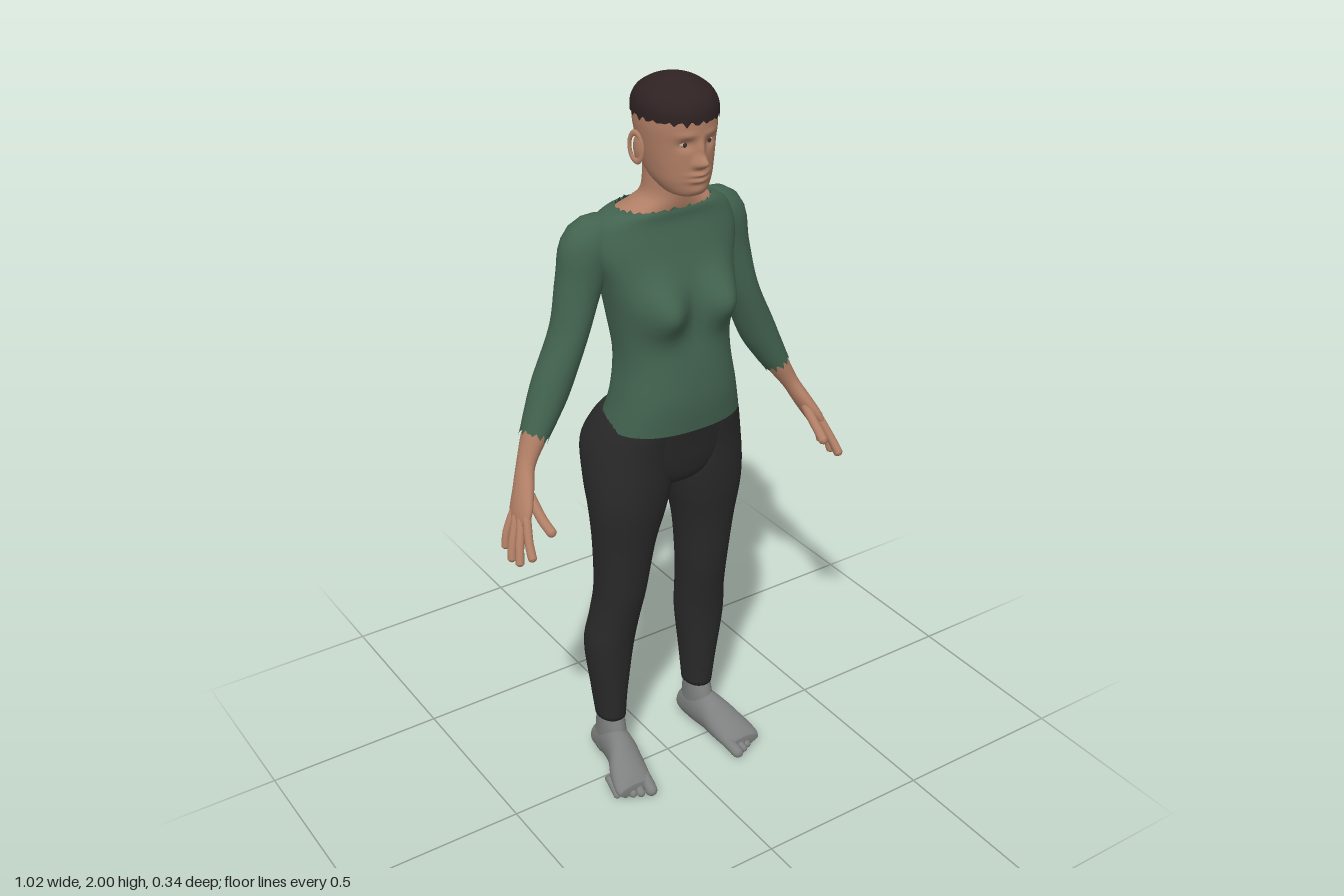
import * as THREE from 'three';

const mat = (name, color, side = THREE.FrontSide) => {
  const m = new THREE.MeshStandardMaterial({ color, side });
  m.name = name;
  return m;
};
const g = (d, s) => Math.exp(-((d / s) ** 2));
const jag = i => 0.006 * (Math.sin(i * 2.1) + Math.sin(i * 3.7));

// Catmull-Rom through rows of numbers, n steps per span
function smooth(rows, n) {
  const out = [], at = i => rows[Math.max(0, Math.min(rows.length - 1, i))];
  for (let i = 0; i < rows.length - 1; i++) {
    for (let k = 0; k < n; k++) {
      const t = k / n;
      out.push(rows[i].map((p1, c) => {
        const p0 = at(i - 1)[c], p2 = at(i + 1)[c], p3 = at(i + 2)[c];
        return p1 + 0.5 * t * (p2 - p0 + t * (2 * p0 - 5 * p1 + 4 * p2 - p3 + t * (3 * (p1 - p2) + p3 - p0)));
      }));
    }
  }
  out.push(rows[rows.length - 1]);
  return out;
}

// Closed skin over rings of points
function skin(rings, capped = true) {
  const n = rings[0].length, pos = [], idx = [];
  rings.forEach(r => r.forEach(p => pos.push(p.x, p.y, p.z)));
  for (let j = 0; j < rings.length - 1; j++) {
    for (let i = 0; i < n; i++) {
      const a = j * n + i, b = j * n + (i + 1) % n;
      idx.push(a, a + n, b, b, a + n, b + n);
    }
  }
  if (capped) {
    [0, rings.length - 1].forEach((j, top) => {
      const c = new THREE.Vector3();
      rings[j].forEach(p => c.addScaledVector(p, 1 / n));
      const k = pos.length / 3;
      pos.push(c.x, c.y, c.z);
      for (let i = 0; i < n; i++) {
        const a = j * n + i, b = j * n + (i + 1) % n;
        idx.push(k, top ? b : a, top ? a : b);
      }
    });
  }
  const geo = new THREE.BufferGeometry();
  geo.setAttribute('position', new THREE.Float32BufferAttribute(pos, 3));
  geo.setIndex(idx);
  geo.computeVertexNormals();
  return geo;
}

// Upright loft; rows are [y, x0, x1, zBack, zFront]
function loft(rows, { seg = 40, n = 5, power = 2, shape, capped } = {}) {
  const sp = v => Math.sign(v) * Math.abs(v) ** (2 / power);
  const list = smooth(rows, n);
  return skin(list.map(([y, x0, x1, z0, z1], j) => Array.from({ length: seg }, (_, i) => {
    const a = i / seg * Math.PI * 2;
    const p = new THREE.Vector3((x0 + x1) / 2 + (x1 - x0) / 2 * sp(Math.cos(a)), y, (z0 + z1) / 2 + (z1 - z0) / 2 * sp(Math.sin(a)));
    if (shape) shape(p, i, j, list.length - 1, Math.sin(a));
    return p;
  })), capped);
}

// Loft along a path; rows are [x, y, z, width radius, depth radius]
function limb(rows, { seg = 24, n = 4, ref = [0, 0, 1], capped, frayed } = {}) {
  const list = smooth(rows, n), P = list.map(r => new THREE.Vector3(r[0], r[1], r[2]));
  return skin(list.map((r, j) => {
    const t = P[Math.min(j + 1, P.length - 1)].clone().sub(P[Math.max(j - 1, 0)]).normalize();
    const v = new THREE.Vector3(...ref);
    v.addScaledVector(t, -v.dot(t)).normalize();
    const u = t.clone().cross(v);
    return Array.from({ length: seg }, (_, i) => {
      const a = i / seg * Math.PI * 2;
      const p = P[j].clone().addScaledVector(u, r[3] * Math.cos(a)).addScaledVector(v, r[4] * Math.sin(a));
      if (frayed && j === list.length - 1) p.addScaledVector(t, jag(i) * 1.3);
      return p;
    });
  }), capped);
}

// Finger or toe with a rounded tip
function digit(points, r, ref) {
  const rows = points.map(p => [...p, r, r]);
  const [a, b] = rows.slice(-2), d = a.map((v, i) => b[i] - v);
  const len = Math.hypot(d[0], d[1], d[2]);
  [[0.5, 0.85], [0.85, 0.5], [1, 0.08]].forEach(([s, k]) =>
    rows.push([0, 1, 2].map(i => b[i] + d[i] / len * r * s).concat(r * k, r * k)));
  return limb(rows, { seg: 12, n: 3, ref });
}

function mirrored(geo) {
  const m = geo.clone().scale(-1, 1, 1), ix = m.index.array;
  for (let i = 0; i < ix.length; i += 3) [ix[i], ix[i + 1]] = [ix[i + 1], ix[i]];
  m.computeVertexNormals();
  return m;
}

const sym = rows => rows.map(([y, w, z0, z1]) => [y, -w, w, z0, z1]);
const ball = (x, y, z, sx, sy, sz) => new THREE.SphereGeometry(1, 20, 14).scale(sx, sy, sz).translate(x, y, z);

export function createModel() {
  const model = new THREE.Group();
  const skinM = mat('skin', 0xb07e65), shirtM = mat('green shirt', 0x42624f, THREE.DoubleSide);
  const pantsM = mat('black leggings', 0x2a2a2b), footM = mat('grey socks', 0x7d807e);
  const hairM = mat('dark hair', 0x2f2223, THREE.DoubleSide);
  const eyeM = mat('eye white', 0xb5a79d), irisM = mat('iris', 0x40302a);
  const add = (name, geo, m) => {
    const mesh = new THREE.Mesh(geo, m);
    mesh.name = name;
    model.add(mesh);
  };
  const pair = (name, geo, m) => {
    add('left ' + name, geo, m);
    add('right ' + name, mirrored(geo), m);
  };

  // Shirt body with bust, spine hollow and ragged collar
  add('shirt body', loft(sym([
    [1.115, 0.186, -0.122, 0.138], [1.2, 0.165, -0.1, 0.145], [1.3, 0.15, -0.103, 0.135],
    [1.4, 0.16, -0.115, 0.113], [1.5, 0.178, -0.124, 0.1], [1.58, 0.2, -0.126, 0.075],
    [1.64, 0.188, -0.12, 0.056], [1.668, 0.155, -0.108, 0.054], [1.677, 0.125, -0.095, 0.052],
  ]), {
    seg: 72, n: 6, power: 2.4, capped: false,
    shape(p, i, j, last, s) {
      if (s > 0) p.z += 0.063 * Math.min(1, s * 2) * g(Math.abs(p.x) - 0.085, 0.06) * g(p.y - 1.445, 0.065);
      else p.z += 0.014 * g(p.x, 0.035) * g(p.y - 1.4, 0.2);
      if (j === last) p.y += jag(i) * 0.7;
    },
  }), shirtM);

  // Sleeves
  pair('sleeve', limb([
    [0.12, 1.605, -0.045, 0.05, 0.05], [0.185, 1.588, -0.058, 0.074, 0.064], [0.218, 1.5, -0.06, 0.059, 0.062],
    [0.256, 1.38, -0.052, 0.046, 0.058], [0.312, 1.25, -0.05, 0.049, 0.054], [0.348, 1.18, -0.043, 0.042, 0.048],
    [0.373, 1.135, -0.036, 0.035, 0.042],
  ], { seg: 32, n: 5, capped: false, frayed: true }), shirtM);

  // Forearms, palms, fingers
  pair('forearm and palm', limb([
    [0.33, 1.21, -0.046, 0.036, 0.042], [0.373, 1.135, -0.035, 0.031, 0.037], [0.41, 1.07, -0.018, 0.022, 0.028],
    [0.434, 1.02, 0.008, 0.021, 0.036], [0.456, 0.975, 0.032, 0.018, 0.043], [0.468, 0.945, 0.043, 0.01, 0.034],
  ]), skinM);
  [
    ['thumb', 0.013, [0.428, 1.01, 0.03], [0.427, 0.97, 0.082], [0.422, 0.948, 0.12]],
    ['index finger', 0.011, [0.457, 0.975, 0.062], [0.472, 0.925, 0.095], [0.478, 0.893, 0.12]],
    ['middle finger', 0.011, [0.464, 0.965, 0.047], [0.487, 0.91, 0.075], [0.498, 0.872, 0.092]],
    ['ring finger', 0.011, [0.467, 0.965, 0.028], [0.492, 0.905, 0.047], [0.501, 0.868, 0.057]],
    ['little finger', 0.01, [0.464, 0.97, 0.008], [0.488, 0.92, 0.012], [0.496, 0.882, 0.016]],
  ].forEach(([name, r, ...pts]) => pair(name, digit(pts, r), skinM));

  // Leggings: two legs, and a pelvis that fills the front between them
  pair('legging', loft([
    [0.155, 0.108, 0.187, -0.12, -0.022], [0.25, 0.102, 0.197, -0.133, -0.012], [0.4, 0.084, 0.216, -0.14, 0.003],
    [0.5, 0.075, 0.206, -0.125, 0.02], [0.6, 0.064, 0.2, -0.11, 0.042], [0.75, 0.044, 0.209, -0.105, 0.064],
    [0.86, 0.016, 0.221, -0.112, 0.085], [0.94, -0.004, 0.224, -0.142, 0.096], [1.03, -0.012, 0.216, -0.173, 0.104],
    [1.1, -0.015, 0.196, -0.145, 0.117], [1.14, -0.015, 0.178, -0.115, 0.125],
  ], { power: 2.15 }), pantsM);
  add('pelvis', loft(sym([
    [0.915, 0.035, -0.06, 0.04], [0.95, 0.1, -0.09, 0.085], [1.0, 0.17, -0.105, 0.103],
    [1.06, 0.2, -0.12, 0.115], [1.1, 0.192, -0.123, 0.124], [1.14, 0.178, -0.11, 0.134],
  ]), { seg: 48, power: 2.3 }), pantsM);

  // Feet
  pair('ankle', loft([
    [0.03, 0.115, 0.185, -0.137, -0.01], [0.1, 0.114, 0.184, -0.128, -0.005], [0.165, 0.112, 0.183, -0.117, -0.027],
  ]), footM);
  const foot = smooth([
    [-0.143, 0.137, 0.165, 0.022, 0.05], [-0.128, 0.118, 0.18, 0.004, 0.085], [-0.07, 0.112, 0.187, 0, 0.125],
    [0, 0.113, 0.203, 0.004, 0.122], [0.05, 0.117, 0.226, 0, 0.09], [0.1, 0.126, 0.24, 0, 0.058], [0.12, 0.135, 0.236, 0.006, 0.04],
  ], 5).map(([z, x0, x1, y0, y1]) => Array.from({ length: 28 }, (_, i) => {
    const a = i / 28 * Math.PI * 2;
    return new THREE.Vector3((x0 + x1) / 2 - (x1 - x0) / 2 * Math.cos(a), Math.max(0, (y0 + y1) / 2 + (y1 - y0) / 2 * Math.sin(a)), z);
  }));
  pair('foot', skin(foot), footM);
  for (let i = 0; i < 5; i++) {
    const r = i ? 0.0125 - i * 0.0004 : 0.017, x = 0.144 + (i ? 0.008 : 0) + 0.0195 * i, tip = 0.14 - 0.0105 * i;
    pair('toe ' + (i + 1), digit([[x - 0.004, r + 0.018, tip - 0.06], [x, r + 0.008, tip - 0.025], [x + 0.004, r, tip]], r, [0, 1, 0]), footM);
  }

  // Neck and shoulder base
  add('neck', loft(sym([
    [1.64, 0.17, -0.105, 0.04], [1.668, 0.142, -0.098, 0.047], [1.685, 0.1, -0.086, 0.052],
    [1.71, 0.066, -0.07, 0.056], [1.76, 0.06, -0.063, 0.06], [1.81, 0.062, -0.064, 0.06],
  ])), skinM);

  // Head with nose, sockets, lips and chin shaped into it
  add('head', loft(sym([
    [1.727, 0.03, 0.05, 0.112], [1.737, 0.05, 0.01, 0.127], [1.765, 0.069, -0.035, 0.134], [1.8, 0.079, -0.06, 0.136],
    [1.85, 0.088, -0.073, 0.136], [1.9, 0.094, -0.083, 0.139], [1.94, 0.089, -0.08, 0.132], [1.975, 0.06, -0.045, 0.1],
  ]), {
    seg: 120, n: 10, power: 2.1,
    shape(p, i, j, last, s) {
      if (s < 0.2) return;
      const x = p.x, y = p.y, ax = Math.abs(x);
      p.z += 0.03 * g(x, 0.013) * g(y - 1.818, 0.014) + 0.013 * g(x, 0.01) * g(y - 1.848, 0.022)
        + 0.008 * g(ax - 0.013, 0.008) * g(y - 1.812, 0.008)
        + 0.011 * g(x, 0.024) * (g(y - 1.787, 0.006) + g(y - 1.772, 0.006))
        + 0.005 * g(x, 0.025) * g(y - 1.746, 0.012)
        - 0.011 * g(ax - 0.034, 0.017) * g(y - 1.86, 0.012)
        + 0.004 * g(ax - 0.034, 0.025) * g(y - 1.882, 0.008);
    },
  }), skinM);
  pair('eye', ball(0.034, 1.859, 0.111, 0.014, 0.0075, 0.012), eyeM);
  pair('iris', ball(0.034, 1.859, 0.1215, 0.0055, 0.006, 0.003), irisM);
  pair('ear', ball(0.089, 1.833, 0.012, 0.01, 0.034, 0.02), skinM);
  pair('ear rim', new THREE.TorusGeometry(0.021, 0.005, 8, 24).scale(0.9, 1.6, 1)
    .rotateY(Math.PI / 2 - 0.35).rotateX(-0.15).translate(0.096, 1.835, 0.01), skinM);

  // Cropped hair cap with an uneven hairline
  add('hair', loft(sym([
    [1.912, 0.098, -0.088, 0.145], [1.94, 0.097, -0.086, 0.142], [1.967, 0.083, -0.07, 0.126],
    [1.988, 0.055, -0.035, 0.094], [1.997, 0.03, -0.003, 0.062], [2, 0.001, 0.028, 0.03],
  ]), { seg: 64, power: 2.05, capped: false, shape(p, i, j) { if (!j) p.y += jag(i) * 0.8; } }), hairM);

  return model;
}
